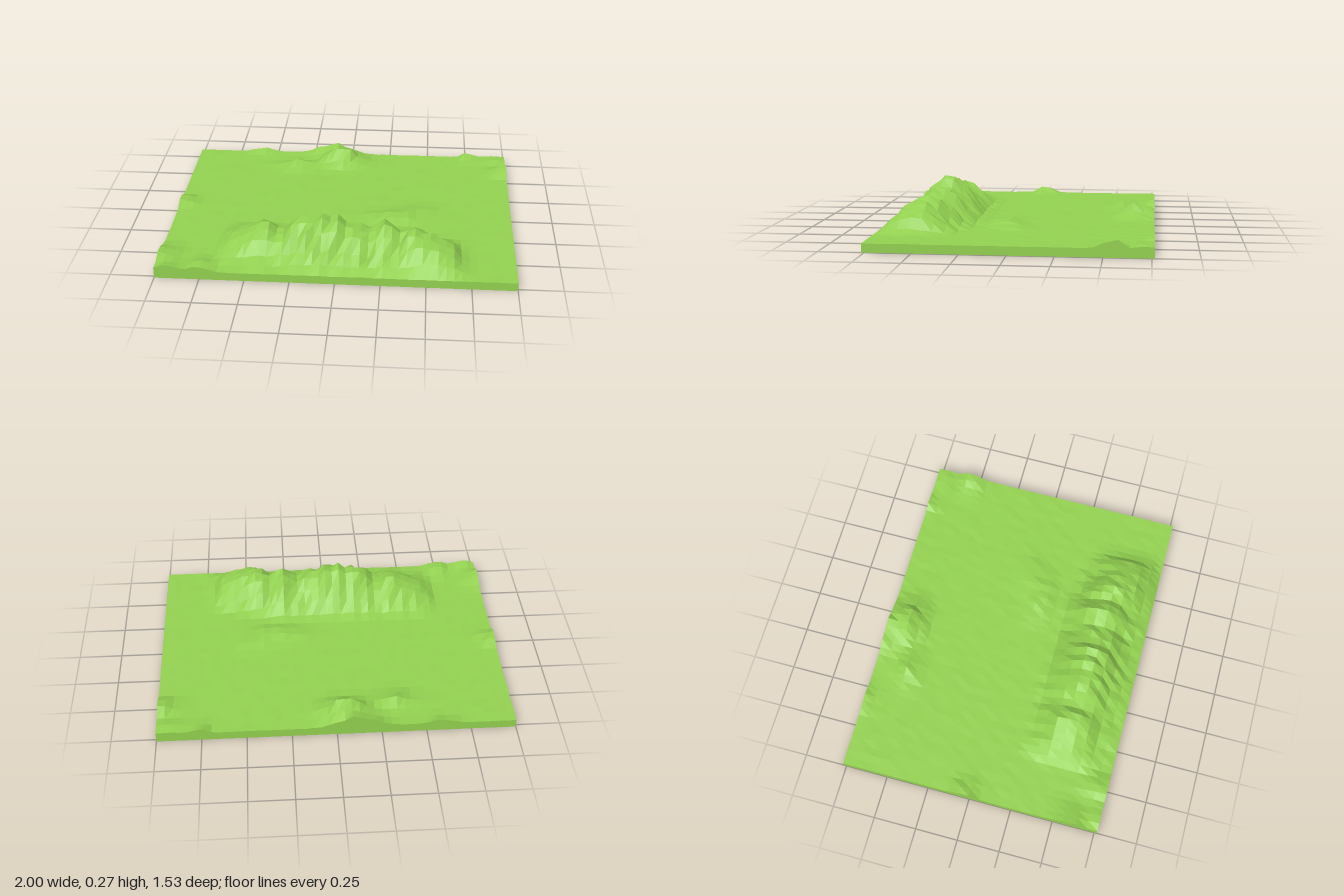
import * as THREE from 'three';

const HALF_Z = 0.765, BASE = 0.047;

// Piecewise linear lookup in a list of [position, value] pairs
function sample(points, t) {
  if (t <= points[0][0]) return points[0][1];
  for (let i = 1; i < points.length; i++) {
    const [a, va] = points[i - 1], [b, vb] = points[i];
    if (t <= b) return va + (vb - va) * (t - a) / (b - a);
  }
  return points[points.length - 1][1];
}

// Repeatable noise per grid point, 0..1
function noise(x, z) {
  const s = Math.sin(Math.round(x * 100) * 12.9898 + Math.round(z * 100) * 78.233) * 43758.5453;
  return s - Math.floor(s);
}

// Skyline of the main range, along x
const crest = [
  [-0.7, 0], [-0.65, 0.04], [-0.6, 0.07], [-0.55, 0.1], [-0.48, 0.13], [-0.42, 0.16],
  [-0.36, 0.13], [-0.325, 0.08], [-0.28, 0.165], [-0.2, 0.2], [-0.13, 0.2], [-0.08, 0.23],
  [-0.04, 0.21], [0, 0.23], [0.05, 0.16], [0.12, 0.175], [0.16, 0.12], [0.2, 0.155],
  [0.28, 0.205], [0.34, 0.13], [0.4, 0.18], [0.46, 0.165], [0.52, 0.15], [0.58, 0.12],
  [0.65, 0.09], [0.7, 0.02], [0.76, 0],
];
// Line of the crest in z, and the range's cross-section around it
const crestLine = [[-0.65, 0.44], [-0.2, 0.47], [0.3, 0.47], [0.5, 0.53], [0.7, 0.57]];
const section = [
  [-0.24, 0], [-0.19, 0.16], [-0.13, 0.5], [-0.06, 0.88], [0, 1],
  [0.06, 0.94], [0.11, 0.75], [0.16, 0.42], [0.22, 0.2], [0.28, 0],
];

// Low hills: x, z, height, width in x, width in z
const hills = [
  [-0.05, -0.64, 0.095, 0.12, 0.08], [-0.12, -0.78, 0.07, 0.13, 0.08],
  [-0.33, -0.56, 0.045, 0.1, 0.06], [-0.58, -0.77, 0.025, 0.08, 0.05],
  [-1, 0.6, 0.045, 0.09, 0.09], [-0.93, 0.76, 0.03, 0.08, 0.06],
  [-0.75, 0.72, 0.045, 0.06, 0.08], [-1, -0.03, 0.045, 0.09, 0.06],
  [0.32, 0.09, 0.035, 0.16, 0.07], [0.45, -0.01, 0.02, 0.1, 0.05],
  [1, -0.55, 0.05, 0.1, 0.06], [0.93, -0.73, 0.025, 0.1, 0.05],
  [0.76, -0.76, 0.03, 0.05, 0.05],
];

function groundHeight(x, z) {
  let h = BASE + 0.003 * noise(x, z);
  for (const [cx, cz, height, wx, wz] of hills) {
    const d = ((x - cx) / wx) ** 2 + ((z - cz) / wz) ** 2;
    h += height * Math.exp(-d) * (0.85 + 0.3 * noise(x, z));
  }
  // Main range, roughened on its flanks and fading out at the front edge
  const s = sample(section, z - sample(crestLine, x));
  const rough = 1 + (noise(z, x) - 0.5) * 0.9 * (1 - s) + (noise(x, z) - 0.5) * 0.12;
  const edge = Math.min(1, (HALF_Z - z) / 0.06);
  return h + sample(crest, x) * s * rough * edge;
}

export function createModel() {
  const model = new THREE.Group();

  // Slab whose upper vertices are lifted to the ground height
  const box = new THREE.BoxGeometry(2, 1, HALF_Z * 2, 46, 1, 24);
  const pos = box.attributes.position;
  for (let i = 0; i < pos.count; i++) {
    const top = pos.getY(i) > 0;
    pos.setY(i, top ? groundHeight(pos.getX(i), pos.getZ(i)) : 0);
  }
  const geometry = box.toNonIndexed();
  geometry.computeVertexNormals();

  const terrain = new THREE.Mesh(
    geometry,
    new THREE.MeshStandardMaterial({ color: 0x92d050, flatShading: true }),
  );
  terrain.name = 'terrain';
  model.add(terrain);
  return model;
}
